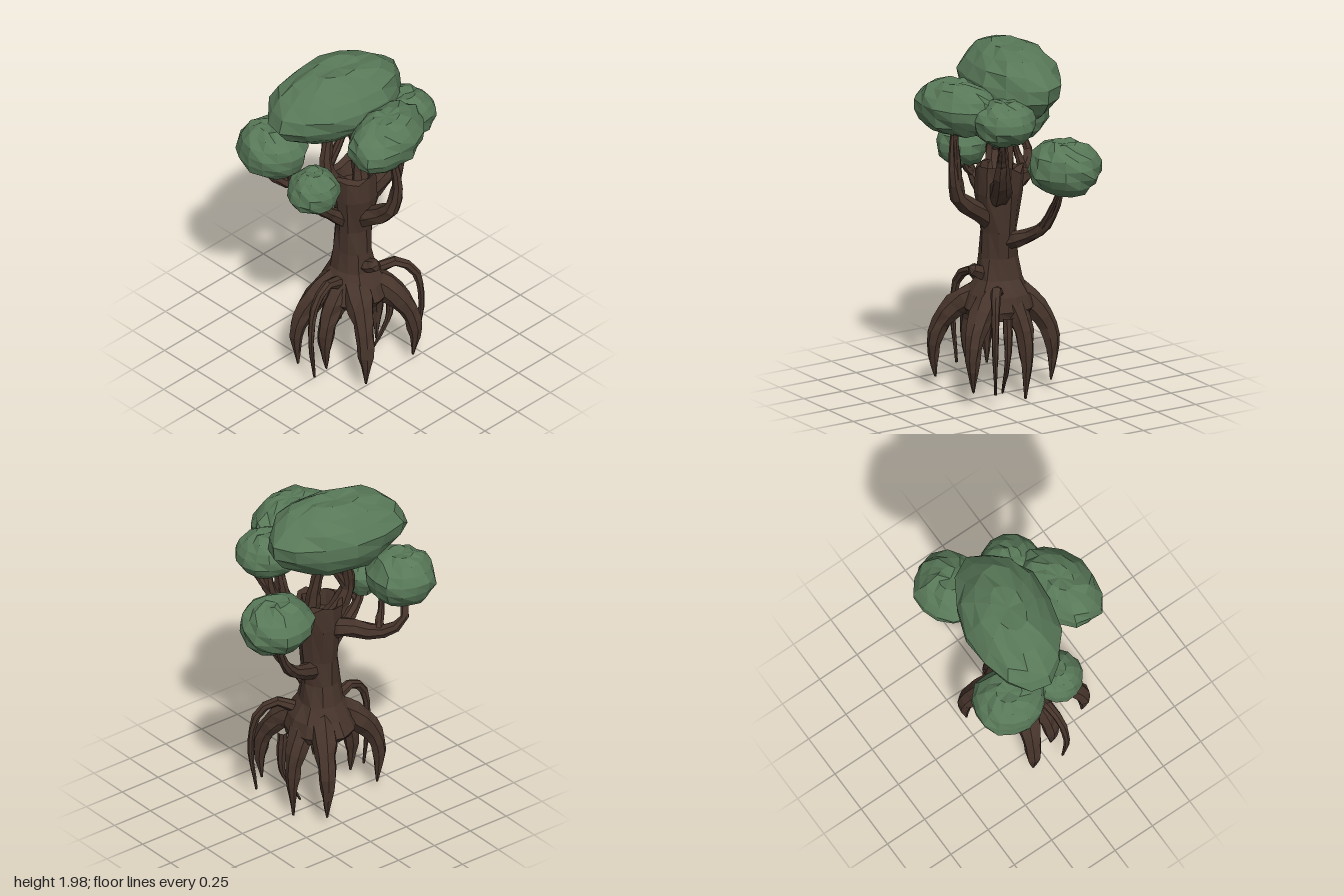
import * as THREE from 'three';

const bark = new THREE.MeshStandardMaterial({ color: 0x46342b });
bark.name = 'dark bark brown';
const leaf = new THREE.MeshStandardMaterial({ color: 0x587858 });
leaf.name = 'leaf green';

const CX = 0.02, CZ = 0.055; // trunk axis

// Repeatable noise in -1..1, equal for equal positions so seams stay closed
function noise(x, y, z) {
  const r = (n) => Math.round(n * 1000) / 1000;
  const s = Math.sin(r(x) * 127.1 + r(y) * 311.7 + r(z) * 74.7) * 43758.5453;
  return (s - Math.floor(s)) * 2 - 1;
}

// Mesh with every facet flat
function add(group, name, geo, material) {
  const flat = geo.toNonIndexed();
  flat.computeVertexNormals();
  const mesh = new THREE.Mesh(flat, material);
  mesh.name = name;
  group.add(mesh);
  return mesh;
}

function addGroup(parent, name) {
  const group = new THREE.Group();
  group.name = name;
  parent.add(group);
  return group;
}

// Tapering limb through points [x, y, z, radius]
function limb(points, sides = 7, steps = 10) {
  const curve = new THREE.CatmullRomCurve3(points.map(([x, y, z]) => new THREE.Vector3(x, y, z)), false, 'centripetal');
  const geo = new THREE.TubeGeometry(curve, steps, 1, sides, false);
  const pos = geo.attributes.position;
  const v = new THREE.Vector3();
  for (let i = 0; i <= steps; i++) {
    const centre = curve.getPointAt(i / steps);
    const t = curve.getUtoTmapping(i / steps) * (points.length - 1);
    const k = Math.min(Math.floor(t), points.length - 2);
    const radius = THREE.MathUtils.lerp(points[k][3], points[k + 1][3], t - k);
    for (let j = 0; j <= sides; j++) {
      const n = i * (sides + 1) + j;
      v.fromBufferAttribute(pos, n).sub(centre);
      v.multiplyScalar(radius * (1 + 0.14 * noise(v.x, v.y, v.z))).add(centre);
      pos.setXYZ(n, v.x, v.y, v.z);
    }
  }
  return geo;
}

// Branch thinning evenly from one radius to another
function branch(points, from, to) {
  const last = points.length - 1;
  return limb(points.map((p, i) => [...p, THREE.MathUtils.lerp(from, to, i / last)]));
}

// Root leaving the trunk axis for its tip; steps are [share of the way out, height, radius]
function root([x, y, z], steps, tipRadius) {
  return limb([...steps, [1, y, tipRadius]].map(([f, h, r]) => [
    THREE.MathUtils.lerp(CX, x, f), h, THREE.MathUtils.lerp(CZ, z, f), r,
  ]));
}

// Faceted leaf cluster with pinched poles
function cluster([rx, ry, rz]) {
  const geo = new THREE.SphereGeometry(1, 14, 9);
  const pos = geo.attributes.position;
  for (let i = 0; i < pos.count; i++) {
    const x = pos.getX(i), y = pos.getY(i), z = pos.getZ(i);
    const k = 1.02 + 0.06 * noise(x + rx, y, z);
    const pole = Math.abs(y) > 0.99 ? 0.9 : 1;
    pos.setXYZ(i, x * k * rx, y * k * pole * ry, z * k * rz);
  }
  return geo;
}

export function createModel() {
  const tree = new THREE.Group();
  tree.name = 'tree';

  // Trunk with flared base and hollow top
  const profile = [
    [0, 0.47], [0.11, 0.46], [0.18, 0.47], [0.21, 0.52], [0.175, 0.6], [0.125, 0.68], [0.106, 0.8],
    [0.105, 0.95], [0.128, 1.17], [0.13, 1.31], [0.1, 1.3], [0.085, 1.22], [0, 1.21],
  ].map(([r, y]) => new THREE.Vector2(r, y));
  const trunk = new THREE.LatheGeometry(profile, 12);
  const pos = trunk.attributes.position;
  for (let i = 0; i < pos.count; i++) {
    const x = pos.getX(i), y = pos.getY(i), z = pos.getZ(i);
    const k = 1 + 0.08 * noise(x, y, z);
    const rim = y > 1.28 ? 0.025 * noise(z, 1, x) : 0;
    pos.setXYZ(i, CX + x * k, y + rim, CZ + z * k);
  }
  add(tree, 'trunk', trunk, bark);

  // Knot stub on the side
  add(tree, 'knot', limb([[0.08, 0.7, 0.06, 0.05], [0.2, 0.75, 0.05, 0.033], [0.215, 0.765, 0.05, 0.001]], 6, 6), bark);

  // Thick claw-like roots
  const roots = addGroup(tree, 'roots');
  const thick = [[0.2, 0.6, 0.08], [0.6, 0.53, 0.075], [0.9, 0.42, 0.055], [1.03, 0.28, 0.042]];
  for (const tip of [
    [0.31, 0.1, 0.24], [0.3, 0.1, -0.13], [-0.02, 0.02, -0.16],
    [-0.23, 0.08, -0.09], [-0.1, 0.08, 0.36], [0.06, 0.1, 0.3],
  ]) add(roots, 'root', root(tip, thick, 0.006), bark);

  // Thin arching roots and one hanging root
  const thin = [[0.25, 0.6, 0.04], [0.7, 0.66, 0.028], [0.98, 0.58, 0.024], [1.09, 0.38, 0.018]];
  for (const tip of [[0.22, 0.1, -0.23], [0.07, 0.1, 0.4]]) add(roots, 'thinRoot', root(tip, thin, 0.007), bark);
  add(roots, 'hangingRoot', branch([[0.09, 0.5, -0.15], [0.09, 0.25, -0.15], [0.06, 0.04, -0.05]], 0.03, 0.006), bark);

  // Each bough leaves the trunk at a height, bends at its elbows, forks once and ends in leaves
  const boughs = addGroup(tree, 'branches');
  const foliage = addGroup(tree, 'foliage');
  function bough(name, centre, radii, turn, height, thickness, elbows) {
    add(boughs, name + 'Branch', branch([[CX, height, CZ], ...elbows, centre], thickness, 0.014), bark);
    const fork = elbows[Math.floor(elbows.length / 2)];
    const end = [centre[0] + 0.06, centre[1] - 0.05, centre[2] - 0.08];
    const bend = fork.map((c, i) => c * 0.5 + end[i] * 0.5 + (i === 1 ? -0.02 : 0));
    add(boughs, name + 'Twig', branch([fork, bend, end], thickness * 0.45, 0.01), bark);
    const leaves = add(foliage, name + 'Leaves', cluster(radii), leaf);
    leaves.position.set(...centre);
    leaves.rotation.y = turn;
  }
  bough('crown', [-0.075, 1.785, 0.09], [0.25, 0.215, 0.41], -0.17, 1.12, 0.07,
    [[-0.04, 1.36, 0.2]]);
  bough('left', [0.29, 1.69, 0.06], [0.18, 0.155, 0.27], 0.25, 0.98, 0.075,
    [[0.17, 1.08, 0.04], [0.29, 1.17, 0.03], [0.335, 1.36, 0.02]]);
  bough('rearLeft', [0.15, 1.65, -0.21], [0.17, 0.13, 0.17], 0.3, 1.1, 0.075,
    [[0.11, 1.26, -0.12], [0.15, 1.4, -0.19]]);
  bough('frontRight', [-0.28, 1.485, 0.385], [0.205, 0.155, 0.19], -0.2, 1.1, 0.065,
    [[-0.15, 1.18, 0.14], [-0.27, 1.17, 0.24], [-0.36, 1.25, 0.34]]);
  bough('front', [0.045, 1.36, 0.38], [0.14, 0.13, 0.145], 0, 0.95, 0.055,
    [[0.01, 1.08, 0.2], [0.02, 1.2, 0.32]]);
  bough('rear', [-0.14, 1.385, -0.37], [0.195, 0.155, 0.21], 0.1, 0.87, 0.055,
    [[-0.04, 0.93, -0.1], [-0.08, 0.99, -0.21], [-0.11, 1.12, -0.31]]);

  // Second stem under the crown
  add(boughs, 'crownStem', branch([[0.03, 1.2, 0], [0, 1.4, 0], [-0.05, 1.66, 0.03]], 0.055, 0.022), bark);
  return tree;
}
